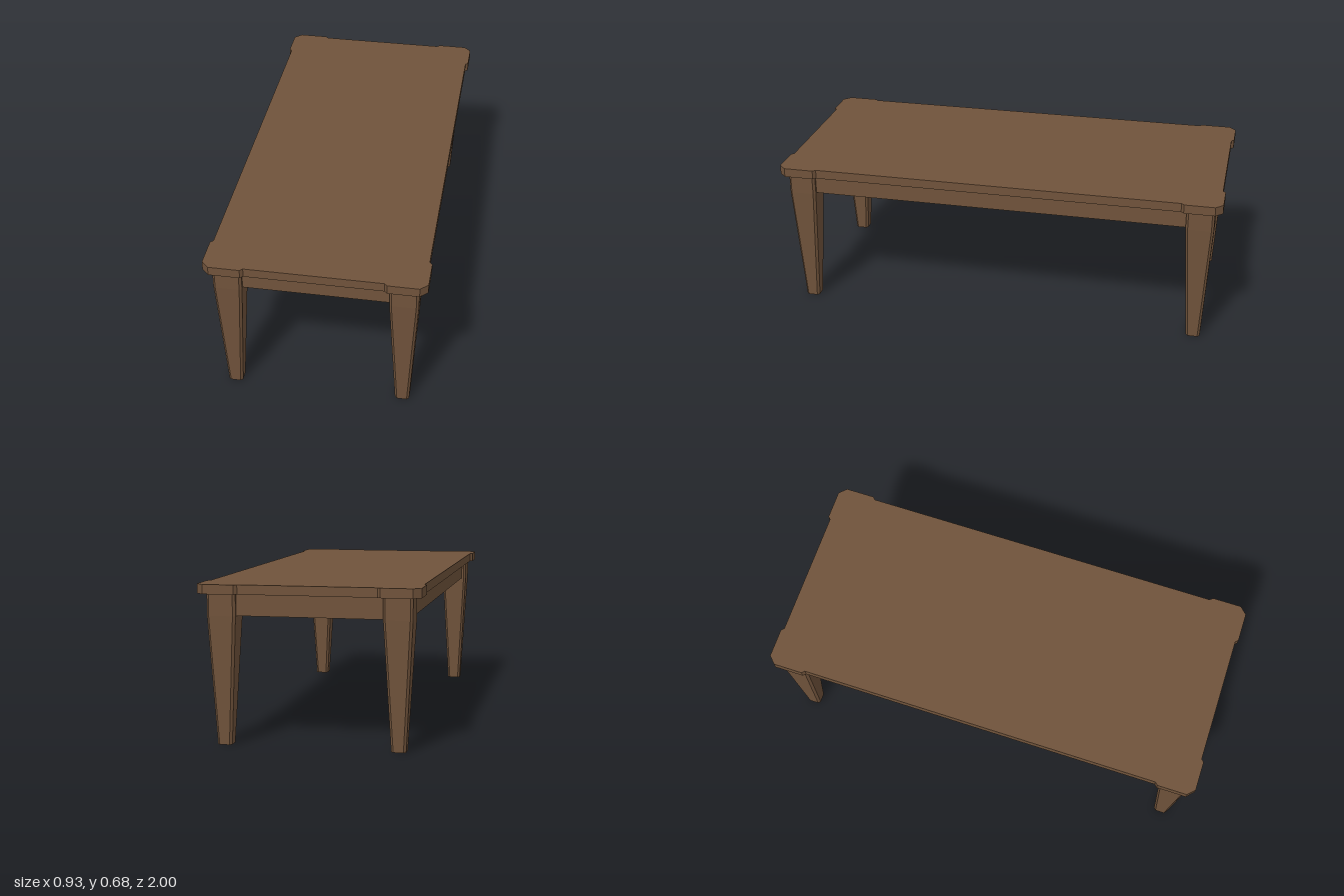
import * as THREE from 'three';

const TOP_Y = 0.68, UNDER_Y = 0.64, APRON_Y = 0.547;

// Extrude an x/z outline upwards along y
function slab(points, y0, y1, steps = 1) {
  const shape = new THREE.Shape(points.map(([x, z]) => new THREE.Vector2(x, z)));
  const geo = new THREE.ExtrudeGeometry(shape, { depth: y1 - y0, steps, bevelEnabled: false });
  return geo.rotateX(-Math.PI / 2).translate(0, y0, 0);
}

// Mirror the points of one quadrant into a closed counter-clockwise outline
function fourfold(q) {
  const half = [...q, ...[...q].reverse().map(([x, z]) => [-x, z])];
  return [...half, ...half.map(([x, z]) => [-x, -z])];
}

// Chamfered leg: straight block beside the aprons, tapering below them
function legGeometry() {
  const r = 0.061, c = 0.01, taper = 0.03;
  const geo = slab(fourfold([[r, r - c], [r - c, r]]), 0, UNDER_Y, 2);
  const p = geo.attributes.position;
  for (let i = 0; i < p.count; i++) {
    const y = p.getY(i);
    if (y < 0.01) {
      p.setX(i, p.getX(i) - Math.sign(p.getX(i)) * taper);
      p.setZ(i, p.getZ(i) - Math.sign(p.getZ(i)) * taper);
    } else if (y < UNDER_Y - 0.01) {
      p.setY(i, APRON_Y);
    }
  }
  geo.computeVertexNormals();
  return geo;
}

export function createModel() {
  const table = new THREE.Group();
  table.name = 'table';
  const wood = new THREE.MeshStandardMaterial({ color: 0x70533b, flatShading: true });
  wood.name = 'brown wood';

  const add = (name, geo, x = 0, y = 0, z = 0) => {
    const mesh = new THREE.Mesh(geo, wood);
    mesh.name = name;
    mesh.position.set(x, y, z);
    table.add(mesh);
  };

  // Tabletop with slightly projecting, chamfered corners
  const corner = [
    [0.455, 0.823], [0.467, 0.835], [0.467, 0.968],
    [0.435, 1], [0.303, 1], [0.291, 0.988],
  ];
  add('tabletop', slab(fourfold(corner), UNDER_Y, TOP_Y));

  // Legs
  const leg = legGeometry();
  for (const [sx, side] of [[1, 'Left'], [-1, 'Right']])
    for (const [sz, end] of [[1, 'front'], [-1, 'back']])
      add(`${end}${side}Leg`, leg, sx * 0.369, 0, sz * 0.905);

  // Apron rails between the legs
  const h = UNDER_Y - APRON_Y, y = APRON_Y + h / 2, t = 0.028;
  const endRail = new THREE.BoxGeometry(0.64, h, t);
  const sideRail = new THREE.BoxGeometry(t, h, 1.71);
  for (const s of [1, -1]) {
    add(s > 0 ? 'frontApron' : 'backApron', endRail, 0, y, s * 0.931);
    add(s > 0 ? 'leftApron' : 'rightApron', sideRail, s * 0.396, y, 0);
  }
  return table;
}
